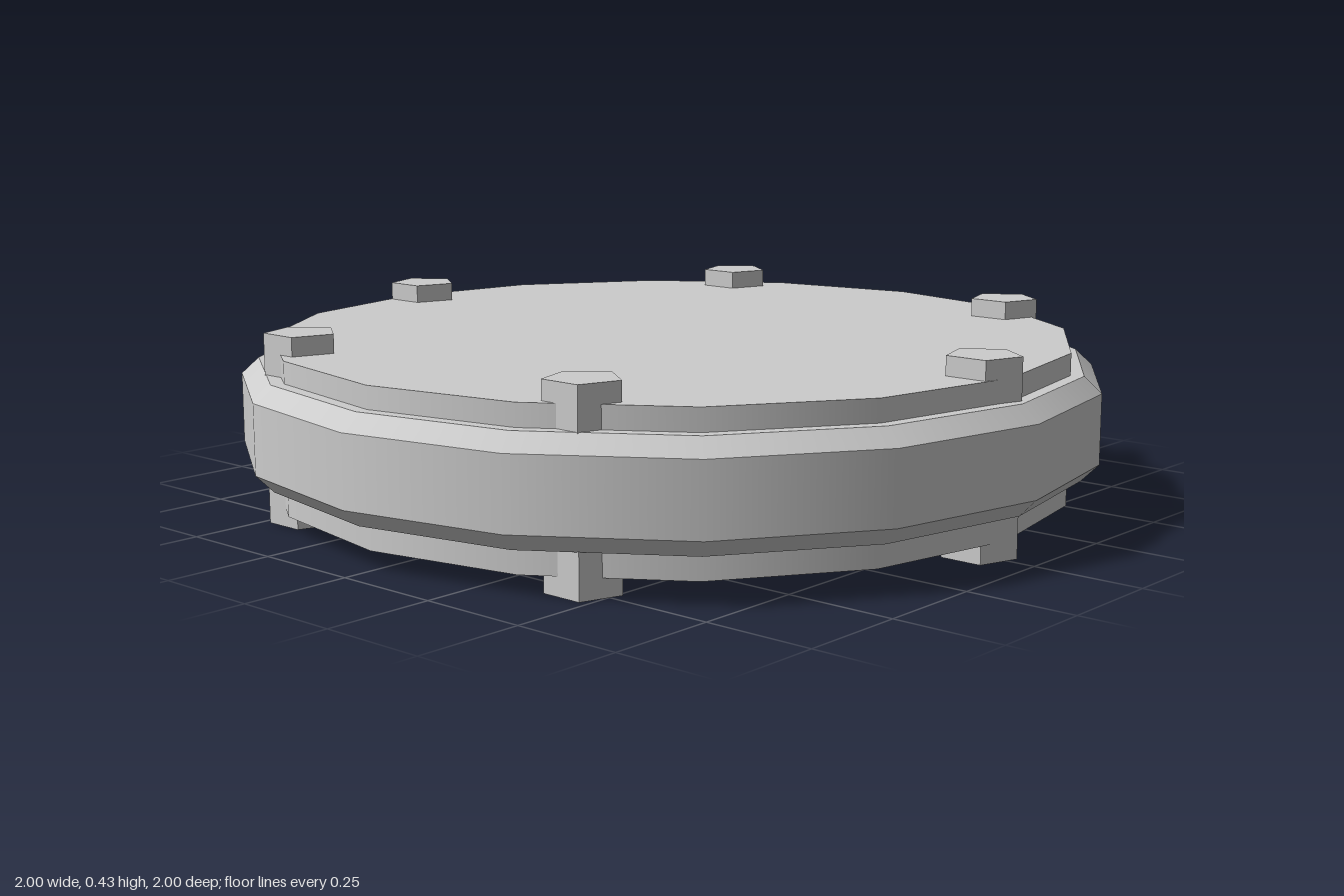
import * as THREE from 'three';

export function createModel() {
  const model = new THREE.Group();
  const grey = new THREE.MeshStandardMaterial({ color: 0xcccccc });
  grey.name = 'light grey';

  const add = (parent, name, geometry) => {
    const mesh = new THREE.Mesh(geometry, grey);
    mesh.name = name;
    parent.add(mesh);
    return mesh;
  };

  // One sixteen-sided ring, smooth around and sharp against its neighbours
  const ring = (parent, name, rLow, yLow, rHigh, yHigh) =>
    add(parent, name, new THREE.LatheGeometry(
      [new THREE.Vector2(rLow, yLow), new THREE.Vector2(rHigh, yHigh)], 16));

  // Outer rim: band, two chamfers and the flat ledges beside the plate
  const rim = new THREE.Group();
  rim.name = 'rim';
  ring(rim, 'lowerLedge', 0.92, 0.1, 0.96, 0.1);
  ring(rim, 'lowerChamfer', 0.96, 0.1, 1, 0.14);
  ring(rim, 'band', 1, 0.14, 1, 0.3);
  ring(rim, 'upperChamfer', 1, 0.3, 0.96, 0.337);
  ring(rim, 'upperLedge', 0.96, 0.337, 0.92, 0.337);
  model.add(rim);

  // Inner plate, standing out above and below the rim
  add(model, 'plate', new THREE.CylinderGeometry(0.93, 0.93, 0.345, 16))
    .position.y = 0.2145;

  // Six five-sided bolts running right through, all pointing to the back
  const bolts = new THREE.Group();
  bolts.name = 'bolts';
  const boltShape = new THREE.CylinderGeometry(0.083, 0.083, 0.43, 5, 1, false, Math.PI).toNonIndexed();
  boltShape.computeVertexNormals();
  for (let i = 0; i < 6; i++) {
    const a = (i * Math.PI) / 3;
    add(bolts, 'bolt', boltShape)
      .position.set(0.863 * Math.cos(a), 0.215, 0.863 * Math.sin(a));
  }
  model.add(bolts);

  return model;
}
